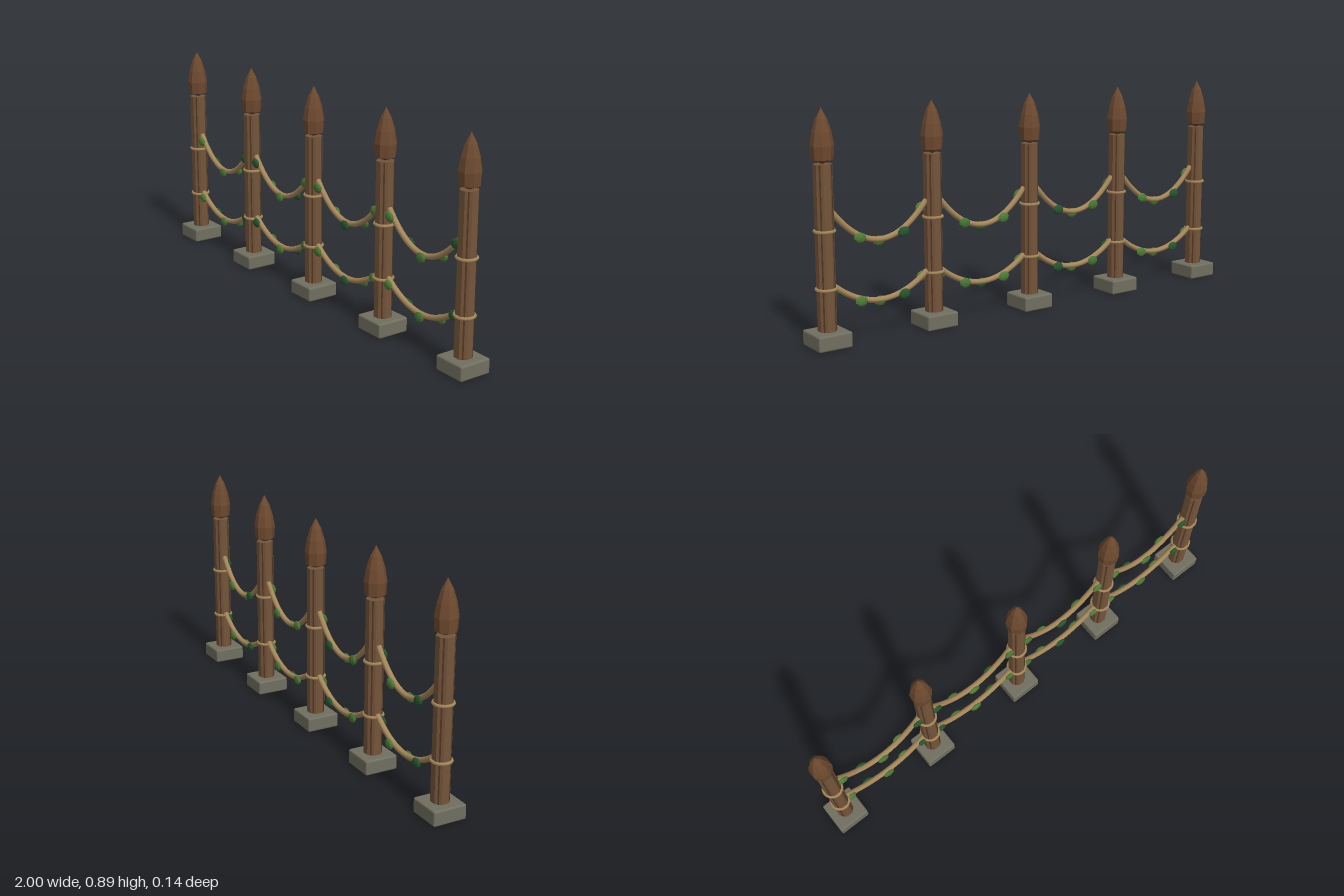
import * as THREE from 'three';
import { RoundedBoxGeometry } from 'three/addons/geometries/RoundedBoxGeometry.js';

const material = (name, color, flatShading = true) => {
  const m = new THREE.MeshStandardMaterial({ color, flatShading });
  m.name = name;
  return m;
};

export function createModel() {
  const group = new THREE.Group();
  group.name = 'ropeFence';

  const wood = material('post wood', 0x74543a);
  const bark = material('dark bark', 0x513823);
  const capWood = material('cap wood', 0x6e4a30);
  const stone = material('stone', 0x706f60);
  const rope = material('rope', 0xa5875a, false);
  const leafColors = [
    material('light leaf', 0x4f7c38),
    material('dark leaf', 0x28552f),
    material('mid leaf', 0x477435),
  ];

  const add = (parent, name, geometry, mat, x = 0, y = 0, z = 0) => {
    const mesh = new THREE.Mesh(geometry, mat);
    mesh.name = name;
    mesh.position.set(x, y, z);
    parent.add(mesh);
    return mesh;
  };

  // Shared post geometries
  const spacing = 0.4655;
  const baseGeo = new RoundedBoxGeometry(0.138, 0.06, 0.138, 2, 0.007);
  const shaftGeo = new THREE.CylinderGeometry(0.036, 0.036, 0.635, 8).rotateY(Math.PI / 8);
  const stripGeo = new THREE.BoxGeometry(0.006, 0.633, 0.004);
  const capProfile = [[0, 0.684], [0.041, 0.701], [0.0445, 0.752], [0.036, 0.802], [0.022, 0.848], [0, 0.89]];
  const capGeo = new THREE.LatheGeometry(capProfile.map(([r, y]) => new THREE.Vector2(r, y)), 8).rotateY(Math.PI / 8);
  const bandGeo = new THREE.TorusGeometry(0.037, 0.0065, 6, 20).rotateX(Math.PI / 2);

  // Posts with stone foot, pointed cap and rope bindings
  for (let i = -2; i <= 2; i++) {
    const post = new THREE.Group();
    post.name = 'post';
    post.position.x = i * spacing;
    group.add(post);
    add(post, 'foot', baseGeo, stone, 0, 0.03, 0);
    add(post, 'shaft', shaftGeo, wood, 0, 0.3675, 0);
    add(post, 'cap', capGeo, capWood);
    for (const y of [0.219, 0.437]) add(post, 'binding', bandGeo, rope, 0, y, 0);
    for (let k = 0; k < 4; k++) {
      const a = Math.PI / 4 + k * Math.PI / 2;
      const strip = add(post, 'barkStrip', stripGeo, bark, Math.sin(a) * 0.0325, 0.3675, Math.cos(a) * 0.0325);
      strip.rotation.y = a;
    }
  }

  // Sagging ropes: height follows a parabola about the middle of each span
  const ropes = [{ low: 0.143, bend: 2.0 }, { low: 0.377, bend: 3.1 }];
  const half = 0.203;
  const leafGeo = new THREE.SphereGeometry(1, 8, 6).scale(0.026, 0.02, 0.01);

  for (const { low, bend } of ropes) {
    const height = (dx) => low + bend * dx * dx;
    const points = [];
    for (let k = 0; k <= 8; k++) {
      const dx = -half + (2 * half * k) / 8;
      points.push(new THREE.Vector3(dx, height(dx), 0));
    }
    const ropeGeo = new THREE.TubeGeometry(new THREE.CatmullRomCurve3(points), 24, 0.0115, 8);

    for (let span = 0; span < 4; span++) {
      const x = (span - 1.5) * spacing;
      add(group, 'rope', ropeGeo, rope, x, 0, 0);
      // Leaves alternate between the front and the back of the rope
      for (let i = 0; i < 5; i++) {
        const dx = (i - 2) * 0.0935;
        const side = i % 2 === 0 ? 1 : -1;
        const leaf = add(group, 'leaf', leafGeo, leafColors[(i + span) % 3],
          x + dx, height(dx) - 0.008, side * 0.013);
        leaf.rotation.z = Math.atan(2 * bend * dx) * 0.4;
      }
    }
  }
  return group;
}
